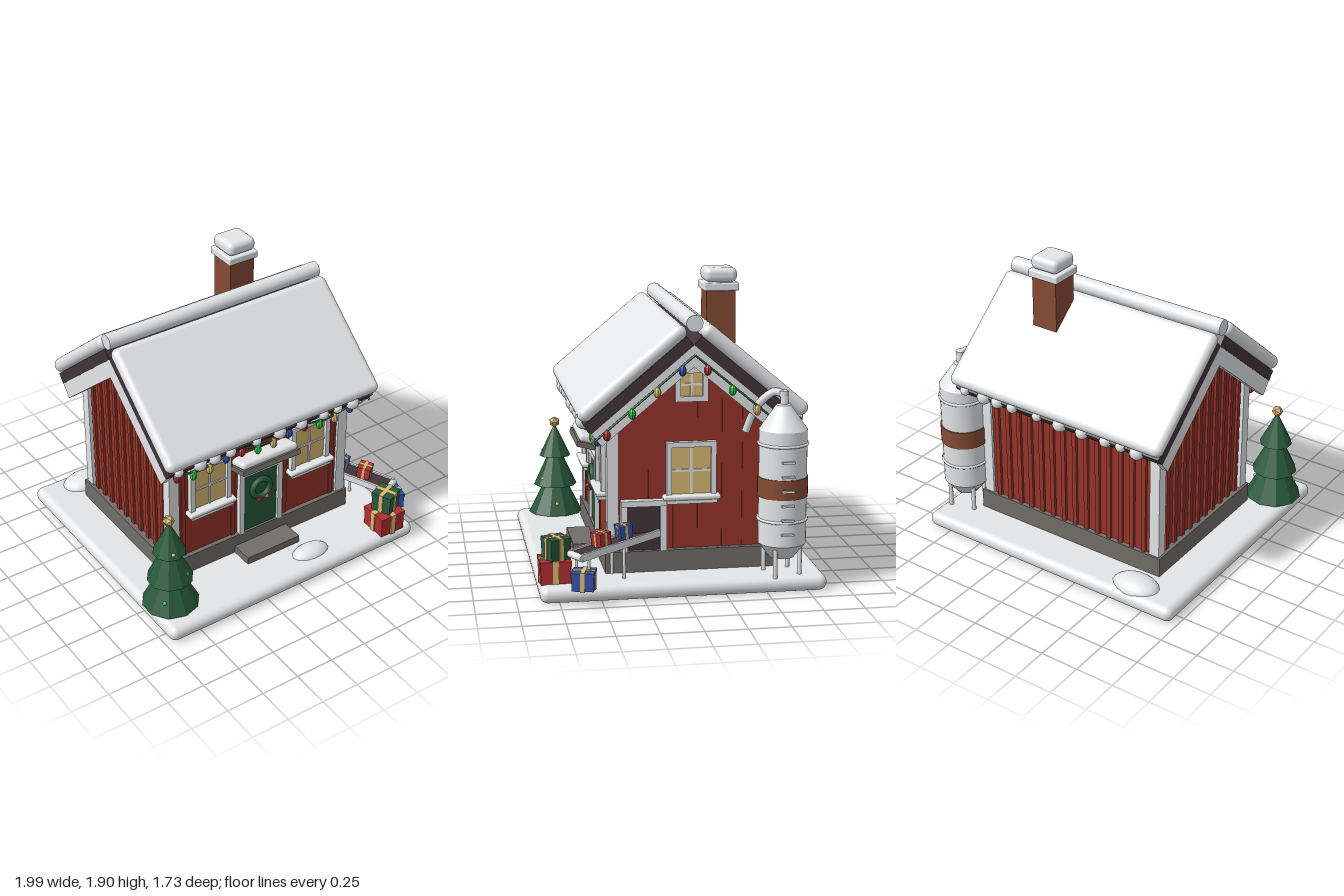
import * as THREE from 'three';
import { RoundedBoxGeometry } from 'three/addons/geometries/RoundedBoxGeometry.js';

const mat = (name, color) => {
  const m = new THREE.MeshStandardMaterial({ color });
  m.name = name;
  return m;
};
const M = {
  white: mat('snow white', 0xe6e8ea), wall: mat('barn red', 0x96352a), brick: mat('brick brown', 0x864a34),
  dark: mat('dark wood', 0x43343a), stone: mat('stone grey', 0x716d69), green: mat('pine green', 0x28593b),
  tan: mat('warm tan', 0xdcb973), red: mat('bright red', 0xb22f33), blue: mat('blue', 0x3553ac),
  lime: mat('light green', 0x27c443),
};
const CX = -0.03, CZ = -0.075;           // house centre
const PITCH = 40 * Math.PI / 180, APEX = 1.49;

function add(parent, name, geo, m, x = 0, y = 0, z = 0) {
  const mesh = new THREE.Mesh(geo, m);
  mesh.name = name;
  mesh.position.set(x, y, z);
  parent.add(mesh);
  return mesh;
}
function group(parent, name, x = 0, y = 0, z = 0, ry = 0) {
  const g = new THREE.Group();
  g.name = name;
  g.position.set(x, y, z);
  g.rotation.y = ry;
  parent.add(g);
  return g;
}
const box = (w, h, d) => new THREE.BoxGeometry(w, h, d);
const soft = (w, h, d, r) => new RoundedBoxGeometry(w, h, d, 4, r);
const cyl = (a, b, h, n = 24) => new THREE.CylinderGeometry(a, b, h, n);
const ball = (r, sy = 1) => new THREE.SphereGeometry(r, 18, 12).scale(1, sy, 1);
const V = (x, y, z) => new THREE.Vector3(x, y, z);
const tube = (pts, r, n = 40) => new THREE.TubeGeometry(new THREE.CatmullRomCurve3(pts), n, r, 10);
function flat(geo) {
  const g = geo.index ? geo.toNonIndexed() : geo;
  g.computeVertexNormals();
  return g;
}

// Framed window facing +z, centred on its glass
function windowUnit(parent, name, x, y, z, ry, w, h, sill) {
  const g = group(parent, name, x, y, z, ry), t = 0.032;
  add(g, 'glass', box(w, h, 0.012), M.tan, 0, 0, 0.006);
  for (const s of [-1, 1]) {
    add(g, 'frameSide', box(t, h + 2 * t, 0.04), M.white, s * (w + t) / 2, 0, 0.015);
    add(g, 'frameRail', box(w, t, 0.04), M.white, 0, s * (h + t) / 2, 0.015);
  }
  add(g, 'muntinUpright', box(0.014, h, 0.022), M.white, 0, 0, 0.008);
  add(g, 'muntinCross', box(w, 0.014, 0.022), M.white, 0, 0, 0.008);
  if (sill) {
    add(g, 'sill', box(w + 0.07, 0.025, 0.06), M.white, 0, -h / 2 - 0.04, 0.025);
    add(g, 'sillSnow', soft(w + 0.11, 0.03, 0.075, 0.012), M.white, 0, -h / 2 - 0.015, 0.03);
  }
}

// Wrapped box with ribbon and bow, standing on y
function gift(parent, name, m, x, y, z, w, h, ry) {
  const g = group(parent, name, x, y, z, ry), b = w * 0.2;
  add(g, 'box', box(w, h, w), m, 0, h / 2);
  add(g, 'lid', box(w * 1.05, h * 0.2, w * 1.05), m, 0, h * 0.9);
  add(g, 'ribbonA', box(b, h + 0.008, w * 1.09), M.tan, 0, h / 2);
  add(g, 'ribbonB', box(w * 1.09, h + 0.008, b), M.tan, 0, h / 2);
}

function buildWalls(root) {
  const g = group(root, 'house', CX, 0, CZ);
  add(g, 'foundation', box(1.38, 0.13, 1.05), M.stone, 0, 0.165);
  const s = new THREE.Shape();
  const top = APEX - 0.495 * Math.tan(PITCH);
  s.moveTo(-0.495, 0.22); s.lineTo(0.495, 0.22); s.lineTo(0.495, top); s.lineTo(0, APEX); s.lineTo(-0.495, top);
  const wall = new THREE.ExtrudeGeometry(s, { depth: 1.3, bevelEnabled: false });
  add(g, 'walls', wall.translate(0, 0, -0.65).rotateY(Math.PI / 2), M.wall);
  // corner boards
  for (const x of [-1, 1]) for (const z of [-1, 1])
    add(g, 'cornerBoard', box(0.07, 0.81, 0.07), M.white, x * 0.64, 0.635, z * 0.477);
  // battens
  const batten = (x, z, w, d) => {
    const h = Math.min(APEX - Math.abs(z) * Math.tan(PITCH), 1.45) - 0.3;
    add(g, 'batten', box(w, h, d), M.wall, x, 0.23 + h / 2, z);
  };
  for (let i = 0; i < 14; i++) batten(-0.56 + i * 0.086, -0.498, 0.03, 0.03);
  for (let i = 0; i < 10; i++) batten(-0.652, -0.4 + i * 0.089, 0.03, 0.03);
  for (const z of [0.245, 0.095, -0.055, -0.205, -0.33]) batten(0.65, z, 0.016, 0.03);
  for (const x of [-0.57, -0.2, 0.2, 0.57]) batten(x, 0.495, 0.03, 0.016);
  // windows
  for (const x of [-0.38, 0.38]) windowUnit(g, 'frontWindow', x, 0.715, 0.495, 0, 0.235, 0.29, true);
  windowUnit(g, 'sideWindow', 0.65, 0.715, 0, Math.PI / 2, 0.24, 0.29, true);
  windowUnit(g, 'gableWindow', 0.65, 1.24, 0, Math.PI / 2, 0.135, 0.14, false);
  // door
  add(g, 'door', box(0.26, 0.44, 0.02), M.green, 0, 0.448, 0.5);
  for (const x of [-1, 1]) add(g, 'doorPost', box(0.036, 0.475, 0.045), M.white, x * 0.146, 0.465, 0.505);
  add(g, 'doorHead', box(0.256, 0.036, 0.045), M.white, 0, 0.684, 0.505);
  add(g, 'wreath', new THREE.TorusGeometry(0.066, 0.019, 10, 24), M.green, 0, 0.535, 0.525);
  for (const x of [-1, 1])
    add(g, 'bowLoop', new THREE.ConeGeometry(0.018, 0.036, 8).rotateZ(x * Math.PI / 2), M.red, x * 0.018, 0.468, 0.545);
  add(g, 'doorStep', box(0.4, 0.05, 0.16), M.stone, 0, 0.125, 0.59);
  const c = group(g, 'doorCanopy', 0, 0.78, 0.565);
  c.rotation.x = -0.26;
  add(c, 'canopyBoard', box(0.43, 0.035, 0.15), M.stone);
  add(c, 'canopySnow', soft(0.42, 0.05, 0.14, 0.022), M.white, 0, 0.04, 0);
  // side hatch
  const h = group(g, 'sideHatch', 0.65, 0.23, 0.29, Math.PI / 2);
  add(h, 'opening', box(0.2, 0.28, 0.01), M.dark, 0.01, 0.14, 0.008);
  for (const x of [-1, 1]) add(h, 'hatchPost', box(0.04, 0.28, 0.05), M.white, x * 0.12, 0.14, 0.015);
  add(h, 'hatchHead', box(0.28, 0.036, 0.06), M.white, 0, 0.296, 0.02);
}

function buildRoof(root) {
  const r = group(root, 'roof', CX, APEX, CZ);
  for (const back of [0, 1]) {
    const side = group(r, back ? 'backRoof' : 'frontRoof', 0, 0, 0, back * Math.PI);
    const slope = group(side, 'slope');
    slope.rotation.x = PITCH;
    add(slope, 'deck', box(1.514, 0.07, 0.8), M.dark, 0, 0.035, 0.4);
    add(slope, 'roofSnow', soft(1.568, 0.09, 0.82, 0.044), M.white, 0, 0.115, 0.386);
    for (const x of [-1, 1]) add(slope, 'rakeBoard', box(0.04, 0.1, 0.8), M.white, x * 0.735, -0.05, 0.4);
    // snow lumps along the eave
    [-0.69, -0.54, -0.435, -0.32, -0.13, 0.04, 0.205, 0.375, 0.485, 0.6].forEach((x, i) =>
      add(side, 'snowLump', ball(0.033 + 0.004 * (i * 3 % 4), 1.05), M.white, x, -0.465, 0.645));
  }
  add(r, 'ridgeSnow', cyl(0.05, 0.05, 1.545).rotateZ(Math.PI / 2), M.white, 0, 0.13, 0);
  const c = group(root, 'chimney', 0.275, 0, -0.305);
  add(c, 'stack', box(0.176, 0.6, 0.18), M.brick, 0, 1.47);
  add(c, 'cap', soft(0.216, 0.05, 0.216, 0.01), M.white, 0, 1.785);
  add(c, 'capSnow', soft(0.2, 0.09, 0.2, 0.036), M.white, 0, 1.855);
}

function buildLights(root) {
  const g = group(root, 'stringLights'), colours = [M.red, M.lime, M.tan, M.blue];
  const bulbGeo = flat(new THREE.SphereGeometry(0.024, 8, 6).scale(1, 1.4, 1));
  const sag = x => 0.955 - 0.05 * Math.abs(Math.sin((x + 0.74) / 0.473 * Math.PI));
  const pts = [];
  for (let i = 0; i <= 36; i++) { const x = -0.74 + i * 1.42 / 36; pts.push(V(x, sag(x), 0.49)); }
  add(g, 'eaveWire', tube(pts, 0.007, 72), M.green);
  for (let i = 0; i < 12; i++) {
    const x = -0.682 + i * 0.1183;
    add(g, 'bulb', bulbGeo, colours[i % 4], x, sag(x) - 0.025, 0.49);
  }
  for (const s of [-1, 1])
    add(g, 'gableWire', tube([V(0.755, 1.435, CZ), V(0.755, 0.94, CZ + s * 0.595)], 0.007, 2), M.green);
  for (let i = 0; i < 8; i++) {
    const z = 0.45 - i * 0.15;
    add(g, 'bulb', bulbGeo, colours[i % 4], 0.758, 1.407 - Math.abs(z - CZ) * 0.83, z);
  }
}

function buildSilo(root) {
  const g = group(root, 'silo', 0.785, 0, -0.603);
  const prof = [[0.001, 0.2], [0.075, 0.2], [0.145, 0.29], [0.145, 0.29], [0.145, 0.985], [0.145, 0.985],
    [0.045, 1.13], [0.045, 1.13], [0.001, 1.14]].map(p => new THREE.Vector2(...p));
  add(g, 'tank', new THREE.LatheGeometry(prof, 32), M.white);
  add(g, 'paintedBand', cyl(0.152, 0.152, 0.12, 32), M.brick, 0, 0.64);
  for (const y of [0.44, 0.9])
    add(g, 'hoop', new THREE.TorusGeometry(0.147, 0.009, 8, 32).rotateX(Math.PI / 2), M.white, 0, y);
  for (let i = 0; i < 4; i++) {
    const a = 0.55 + i * Math.PI / 2;
    add(g, 'leg', cyl(0.014, 0.014, 0.24, 10), M.white, 0.115 * Math.cos(a), 0.21, 0.115 * Math.sin(a));
  }
  for (let i = 0; i < 6; i++) add(g, 'rung', box(0.03, 0.012, 0.075), M.white, 0.15, 0.37 + i * 0.088, 0);
  add(g, 'feedPipe', tube([V(0, 1.1, 0), V(0, 1.185, 0), V(-0.02, 1.205, 0.05), V(-0.05, 1.14, 0.13),
    V(-0.1, 1.05, 0.17), V(-0.13, 0.95, 0.2)], 0.024), M.white);
  add(g, 'pipeCap', cyl(0.03, 0.03, 0.03, 16), M.white, 0, 1.2);
}

function buildTree(root) {
  const g = group(root, 'tree', -0.82, 0, 0.61);
  for (const [r, y, h] of [[0.18, 0.11, 0.36], [0.145, 0.3, 0.31], [0.105, 0.5, 0.22]])
    add(g, 'branches', flat(new THREE.ConeGeometry(r, h, 10)), M.green, 0, y + h / 2);
  add(g, 'topper', new THREE.IcosahedronGeometry(0.037, 0), M.tan, 0, 0.73);
  const colours = [M.tan, M.lime, M.red];
  for (let i = 0; i < 9; i++) {
    const a = i * 2.4, r = 0.14 - i * 0.01;
    add(g, 'bauble', ball(0.013), colours[i % 3], r * Math.cos(a), [0.19, 0.35, 0.53][Math.floor(i / 3)], r * Math.sin(a));
  }
}

function buildConveyor(root) {
  const g = group(root, 'conveyor', 0.725, 0.305, 0.4, 0.51);
  const bed = group(g, 'bed');
  bed.rotation.x = 0.09;
  add(bed, 'belt', box(0.11, 0.03, 0.58), M.dark);
  for (const x of [-1, 1]) {
    add(bed, 'rail', box(0.016, 0.045, 0.58), M.white, x * 0.062, 0.003, 0);
    for (const z of [-0.02, 0.24]) add(g, 'leg', cyl(0.01, 0.01, 0.2, 8), M.white, x * 0.062, -0.115, z);
  }
  for (const z of [-1, 1]) add(bed, 'roller', cyl(0.022, 0.022, 0.135, 14).rotateZ(Math.PI / 2), M.white, 0, 0, z * 0.285);
  gift(bed, 'redParcel', M.red, 0, 0.02, 0.1, 0.085, 0.08, 0.1);
  gift(bed, 'blueParcel', M.blue, 0, 0.02, -0.07, 0.08, 0.08, -0.2);
}

export function createModel() {
  const root = new THREE.Group();
  root.name = 'winterCabin';
  add(root, 'snowyBase', soft(1.873, 0.1, 1.73, 0.048), M.white, CX, 0.05, 0);
  add(root, 'frontDrift', ball(1).scale(0.135, 0.06, 0.08), M.white, 0.175, 0.085, 0.71);
  add(root, 'backDrift', ball(1).scale(0.16, 0.075, 0.11), M.white, -0.645, 0.085, -0.74);
  buildWalls(root);
  buildRoof(root);
  buildLights(root);
  buildSilo(root);
  buildTree(root);
  buildConveyor(root);
  gift(root, 'redGift', M.red, 0.73, 0.095, 0.765, 0.18, 0.14, 0);
  gift(root, 'greenGift', M.green, 0.742, 0.237, 0.755, 0.13, 0.13, 0.4);
  gift(root, 'blueGift', M.blue, 0.913, 0.095, 0.61, 0.13, 0.11, -0.25);
  return root;
}
